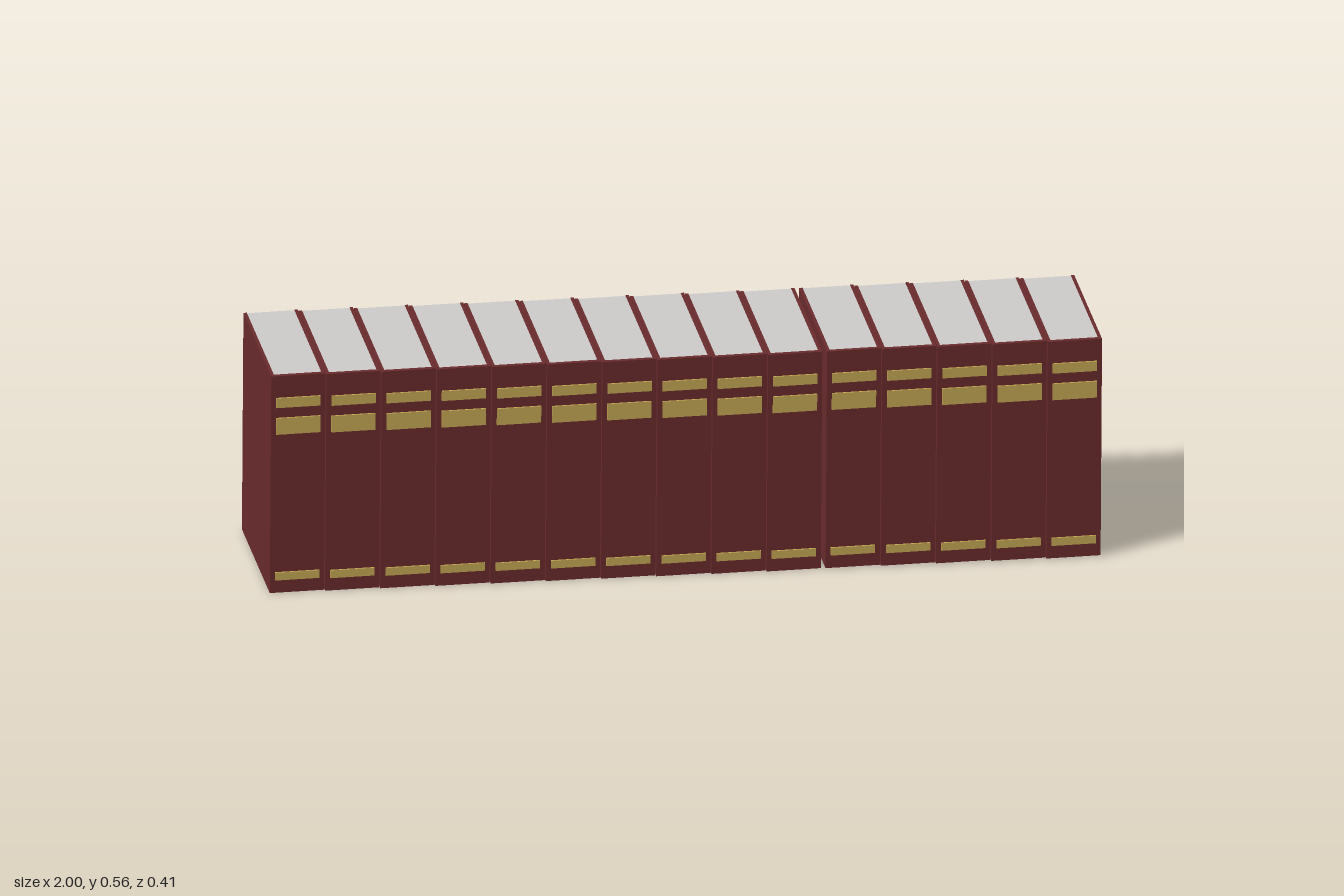
import * as THREE from 'three';

const WIDTH = 0.13, HEIGHT = 0.557, DEPTH = 0.385, COVER = 0.008, SPINE = 0.011;

const burgundy = new THREE.MeshStandardMaterial({ name: 'burgundy cloth', color: 0x6b2b2d });
const paper = new THREE.MeshStandardMaterial({ name: 'pale paper', color: 0xcfcdcb });
const gold = new THREE.MeshStandardMaterial({ name: 'gold band', color: 0xc8aa54 });

function addBox(parent, name, material, size, position) {
  const mesh = new THREE.Mesh(new THREE.BoxGeometry(...size), material);
  mesh.name = name;
  mesh.position.set(...position);
  parent.add(mesh);
}

// One upright book with its spine facing +z, standing on y = 0
function createBook() {
  const book = new THREE.Group();
  const mid = HEIGHT / 2;

  // Hard binding: spine and two boards
  addBox(book, 'spine', burgundy, [WIDTH, HEIGHT, SPINE], [0, mid, DEPTH / 2 - SPINE / 2]);
  for (const side of [-1, 1]) {
    addBox(book, side < 0 ? 'rightCover' : 'leftCover', burgundy,
      [COVER, HEIGHT, DEPTH - SPINE], [side * (WIDTH - COVER) / 2, mid, -SPINE / 2]);
  }

  // Page block, just inside the boards
  const inset = 0.001;
  addBox(book, 'pages', paper,
    [WIDTH - 2 * COVER, HEIGHT - 2 * inset, DEPTH - SPINE - inset],
    [0, mid, (inset - SPINE) / 2]);

  // Gold bands across the spine: [centre height, band height]
  for (const [y, h] of [[0.489, 0.025], [0.429, 0.042], [0.043, 0.02]]) {
    addBox(book, 'goldBand', gold, [0.106, h, 0.004], [0, y, DEPTH / 2 + 0.002]);
  }
  return book;
}

export function createModel() {
  const model = new THREE.Group();
  model.name = 'bookRow';

  // Ten books, a small gap, then five more; the row drifts slightly forward
  for (let i = 0; i < 15; i++) {
    const second = i >= 10;
    const book = createBook();
    book.name = 'book';
    book.position.set(-0.925 + i * 0.1312 + (second ? 0.009 : 0), second ? 0.004 : 0.002, -0.009 + i * 0.0013);
    book.rotation.set(0.004, 0.052, -0.006);
    model.add(book);
  }
  return model;
}
